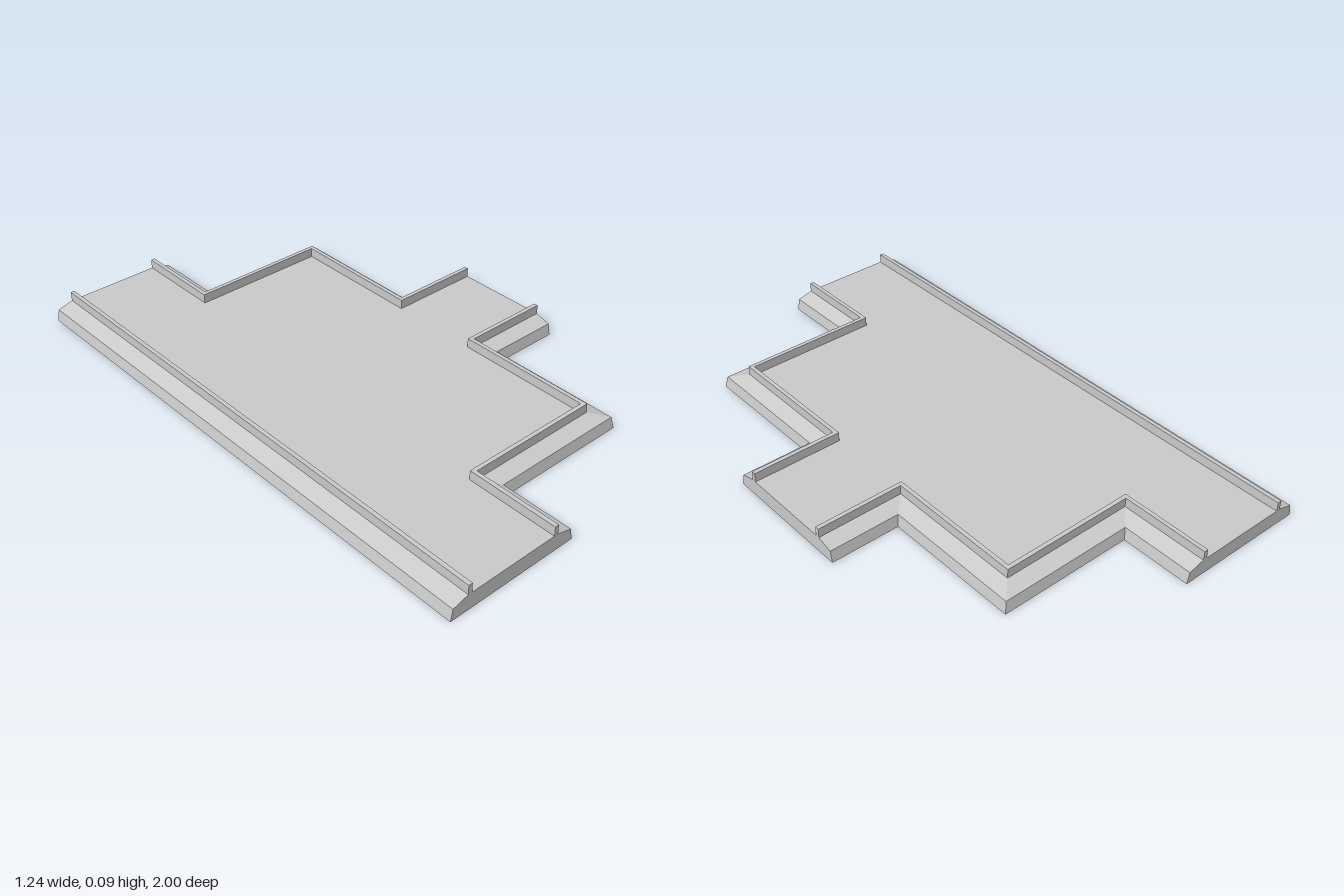
import * as THREE from 'three';

const X = 0.622, Z = 1;           // half width and half length
const DECK_Y = 0.058;
const DECK_INSET = 0.08;
// edge cross-section: [distance inward from the foot, height]
const PROFILE = [[0, 0], [0.008, 0.042], [0.065, DECK_Y], [0.065, 0.092], [DECK_INSET, 0.092], [DECK_INSET, DECK_Y]];

const material = new THREE.MeshStandardMaterial({ color: 0xcccccc, flatShading: true, side: THREE.DoubleSide });

// stepped edge on the +x side, inset by d, running from the back to the end of the spur
const steppedHalf = (d) => [
  [-0.132 - d, -Z], [-0.132 - d, -0.745 + d], [0.367 - d, -0.745 + d],
  [0.367 - d, -0.245 + d], [X, -0.245 + d],
];
const mirrorZ = (pts) => pts.map(([x, z]) => [x, -z]).reverse();
const backEdge = (d) => steppedHalf(d);
const frontEdge = (d) => mirrorZ(steppedHalf(d));
const straightEdge = (d) => [[-X + d, Z], [-X + d, -Z]];

// sweep the edge profile along a mitred path
function edgeGeometry(path) {
  const rows = PROFILE.map(([d, y]) => path(d).map(([x, z]) => [x, y, z]));
  const pos = [];
  for (let j = 0; j < rows.length - 1; j++) {
    for (let i = 0; i < rows[j].length - 1; i++) {
      const a = rows[j][i], b = rows[j][i + 1], c = rows[j + 1][i + 1], d = rows[j + 1][i];
      pos.push(...a, ...d, ...c, ...a, ...c, ...b);
    }
  }
  const g = new THREE.BufferGeometry();
  g.setAttribute('position', new THREE.Float32BufferAttribute(pos, 3));
  g.computeVertexNormals();
  return g;
}

// flat end wall between two feet at x = a and x = b
function endGeometry(a, b) {
  const left = PROFILE.map(([d, y]) => new THREE.Vector2(a + d, y));
  const right = PROFILE.map(([d, y]) => new THREE.Vector2(b - d, y)).reverse();
  return new THREE.ShapeGeometry(new THREE.Shape([...left, ...right]));
}

export function createModel() {
  const group = new THREE.Group();
  const add = (name, geometry) => {
    const mesh = new THREE.Mesh(geometry, material);
    mesh.name = name;
    group.add(mesh);
    return mesh;
  };

  // sloped kerbs with upright rails
  add('straightKerb', edgeGeometry(straightEdge));
  add('backSteppedKerb', edgeGeometry(backEdge));
  add('frontSteppedKerb', edgeGeometry(frontEdge));

  // flat deck between the rails
  const outline = [straightEdge, backEdge, frontEdge].flatMap((path) => path(DECK_INSET));
  const deck = new THREE.ShapeGeometry(new THREE.Shape(outline.map(([x, z]) => new THREE.Vector2(x, -z))));
  add('deck', deck.rotateX(-Math.PI / 2).translate(0, DECK_Y, 0));

  // end walls of the long run and the spur; the underside stays open
  add('frontEnd', endGeometry(-X, -0.132).translate(0, 0, Z));
  add('backEnd', endGeometry(0.132, X).rotateY(Math.PI).translate(0, 0, -Z));
  add('spurEnd', endGeometry(-0.245, 0.245).rotateY(Math.PI / 2).translate(X, 0, 0));

  return group;
}
